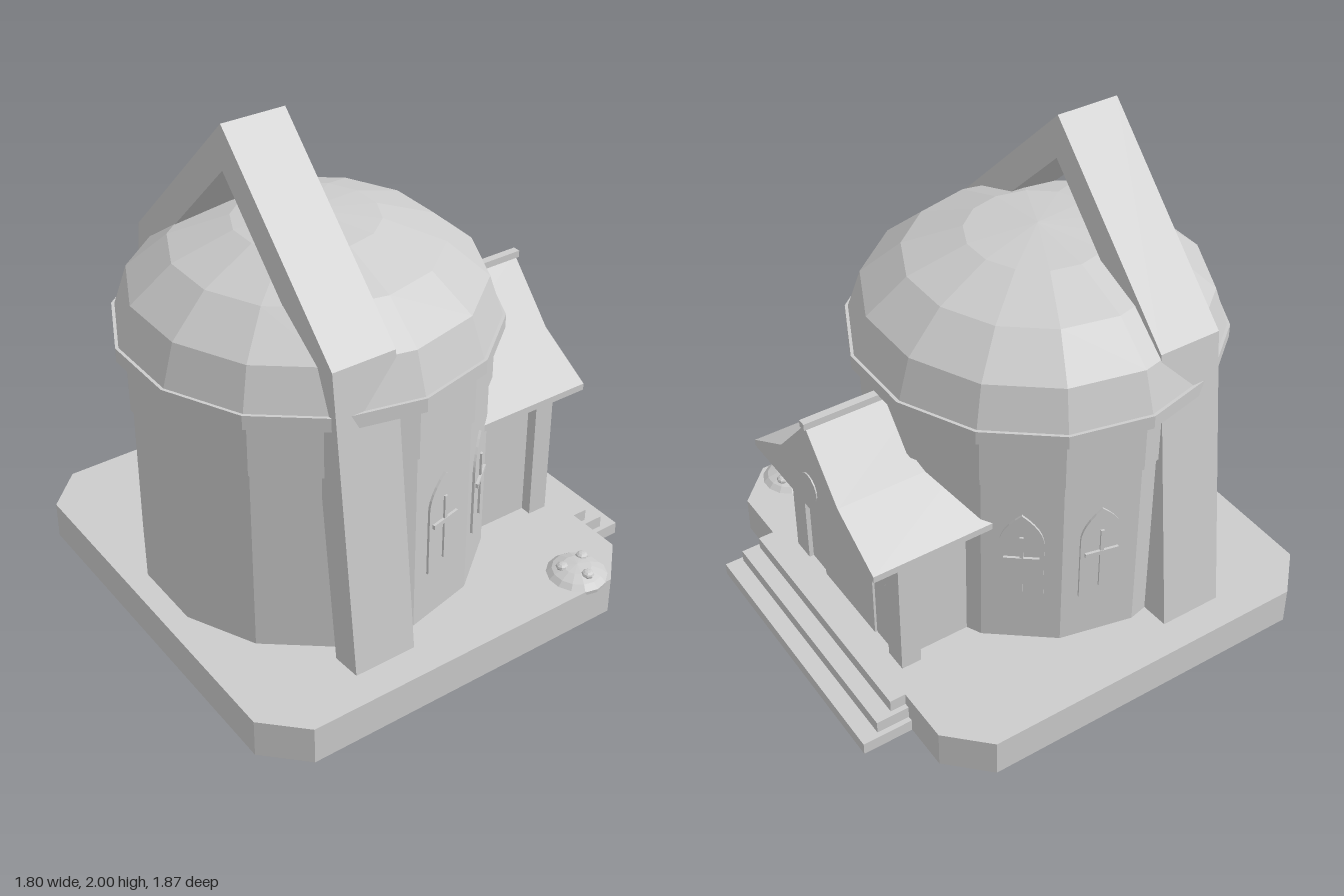
import * as THREE from 'three';

const SIDES = 14;
const HALF = Math.PI / SIDES; // half a facet, puts flats at front and back
const DRUM_Z = 0.192;
const WALL_R = 0.67;
const FLOOR = 0.155;

// drops the faces that look downwards, leaving a shell open below
function openBelow(geo) {
  const src = geo.index ? geo.toNonIndexed() : geo;
  const p = src.attributes.position;
  const tri = new THREE.Triangle();
  const n = new THREE.Vector3();
  const kept = [];
  for (let i = 0; i < p.count; i += 3) {
    tri.setFromAttributeAndIndices(p, i, i + 1, i + 2);
    if (tri.getNormal(n).y > -0.3) kept.push(tri.a.clone(), tri.b.clone(), tri.c.clone());
  }
  const out = new THREE.BufferGeometry().setFromPoints(kept);
  out.computeVertexNormals();
  return out;
}

export function createModel() {
  const root = new THREE.Group();
  root.name = 'chapel';
  const body = new THREE.Group();
  body.name = 'building';
  body.position.x = -0.008;
  root.add(body);

  const stone = new THREE.MeshStandardMaterial({ color: 0xcccccc, flatShading: true, side: THREE.DoubleSide });
  stone.name = 'pale stone grey';

  const add = (name, geo, x = 0, y = 0, z = 0, parent = body) => {
    const m = new THREE.Mesh(geo, stone);
    m.name = name;
    m.position.set(x, y, z);
    parent.add(m);
    return m;
  };
  // box geometry given by its minimum and maximum on each axis
  const boxGeo = (x0, x1, y0, y1, z0, z1) =>
    new THREE.BoxGeometry(x1 - x0, y1 - y0, z1 - z0)
      .translate((x0 + x1) / 2, (y0 + y1) / 2, (z0 + z1) / 2);
  const poly = (pts) => new THREE.Shape(pts.map(([x, y]) => new THREE.Vector2(x, y)));
  const extrude = (shape, depth) =>
    new THREE.ExtrudeGeometry(shape, { depth, bevelEnabled: false, curveSegments: 6 });
  const lathe = (pts) =>
    new THREE.LatheGeometry(pts.map(([r, y]) => new THREE.Vector2(r, y)), SIDES, HALF);
  // pointed arch standing on y = 0
  const arch = (w, spring, h) => {
    const s = new THREE.Shape();
    s.moveTo(-w / 2, 0);
    s.lineTo(w / 2, 0);
    s.lineTo(w / 2, spring);
    s.quadraticCurveTo(w / 2, (spring + h) / 2, 0, h);
    s.quadraticCurveTo(-w / 2, (spring + h) / 2, -w / 2, spring);
    return s;
  };

  // chamfered plinth, hollow underneath
  const w = 0.896, f = 0.934, b = 0.73, c = 0.15;
  const plinth = extrude(poly([
    [-w, -f + c], [-w + c, -f], [w - c, -f], [w, -f + c],
    [w, b - c], [w - c, b], [-w + c, b], [-w, b - c],
  ]), FLOOR);
  plinth.rotateX(-Math.PI / 2);
  add('plinth', openBelow(plinth));

  // three entrance steps
  for (let i = 0; i < 3; i++) {
    const hw = 0.558 - i * 0.02;
    add('step', openBelow(boxGeo(-hw, hw, i * 0.052, (i + 1) * 0.052 - 0.001, -0.934 + i * 0.07, -0.73)));
  }

  // drum, upper band, rim and dome
  add('drumWall', lathe([[WALL_R, FLOOR], [WALL_R, 0.92]]), 0, 0, DRUM_Z);
  add('drumBand', lathe([[0.66, 0.915], [0.682, 0.915], [0.682, 1.14]]), 0, 0, DRUM_Z);
  add('domeRim', lathe([[0.66, 1.13], [0.719, 1.13], [0.719, 1.185], [0.68, 1.185]]), 0, 0, DRUM_Z);
  add('dome', lathe([[0.707, 1.185], [0.655, 1.343], [0.498, 1.477], [0.27, 1.562], [0, 1.592]]), 0, 0, DRUM_Z);

  // tall gabled frame straddling the drum
  const frame = poly([
    [0.775, 0.167], [0.637, 1.363], [0, 2], [-0.637, 1.363], [-0.775, 0.167],
    [-0.65, 0.156], [-0.513, 1.317], [0, 1.83], [0.513, 1.317], [0.65, 0.156],
  ]);
  add('archFrame', extrude(frame, 0.255), 0, 0, 0.268);

  // lancet windows, two on each side of the drum
  for (const side of [1, -1]) {
    for (const k of [1, 3]) {
      const win = new THREE.Group();
      win.name = 'window';
      const a = side * (Math.PI / 2 + k * HALF);
      const r = WALL_R * Math.cos(HALF);
      win.position.set(Math.sin(a) * r, 0, DRUM_Z + Math.cos(a) * r);
      win.rotation.y = a;
      add('windowPane', extrude(arch(0.165, 0.28, 0.415), 0.0095), 0, 0.36, 0, win);
      add('windowUpright', boxGeo(-0.007, 0.007, 0.4, 0.675, 0, 0.018), 0, 0, 0, win);
      add('windowCrossbar', boxGeo(-0.066, 0.066, 0.56, 0.578, 0, 0.02), 0, 0, 0, win);
      body.add(win);
    }
  }

  // porch walls and corner posts
  add('porchWalls', openBelow(boxGeo(-0.36, 0.36, FLOOR, 0.75, -0.655, -0.3)));
  for (const s of [1, -1]) {
    const x = s * 0.357;
    add('porchPost', openBelow(boxGeo(x - 0.048, x + 0.048, FLOOR, 0.715, -0.674, -0.592)));
  }
  const door = add('porchDoor', extrude(arch(0.38, 0.34, 0.56), 0.0095), 0, FLOOR, -0.655);
  door.rotation.y = Math.PI;

  // flared porch roof over a gable that is open below
  const roof = [[0.445, 0.697], [0.445, 0.725], [0.21, 0.865], [0, 1.1]];
  const outline = poly([...roof, ...roof.slice(0, 3).reverse().map(([x, y]) => [-x, y])]);
  add('porchRoof', openBelow(extrude(outline, 0.545)), 0, 0, -0.793);
  add('ridgeCap', boxGeo(-0.016, 0.016, 1.09, 1.118, -0.803, -0.4));
  const rose = add('gableRoundel', new THREE.CylinderGeometry(0.058, 0.058, 0.008, 14), 0, 0.815, -0.794);
  rose.rotation.x = Math.PI / 2;

  // small bracket and diamond plaque beside the door
  add('wallBracket', boxGeo(-0.34, -0.22, 0.612, 0.637, -0.7, -0.65));
  const plaque = add('diamondPlaque', extrude(poly([[-0.016, 0], [0, -0.035], [0.016, 0], [0, 0.035]]), 0.008), -0.28, 0.51, -0.655);
  plaque.rotation.y = Math.PI;

  // domed ornament with knobs, sunk into the back corner
  const ornament = new THREE.Group();
  ornament.name = 'cornerOrnament';
  ornament.position.set(0.78, 0, -0.503);
  root.add(ornament);
  add('ornamentCap', lathe([
    [0, 0.03], [0.05, 0.04], [0.08, 0.125], [0.118, 0.137],
    [0.12, 0.153], [0.097, 0.173], [0.055, 0.189], [0, 0.196],
  ]), 0, 0, 0, ornament);
  for (const [x, z] of [[-0.035, -0.055], [0.06, 0], [-0.03, 0.05]]) {
    const knob = add('ornamentKnob', new THREE.SphereGeometry(0.025, 8, 6), x, 0.187, z, ornament);
    knob.scale.y = 0.6;
  }

  return root;
}
